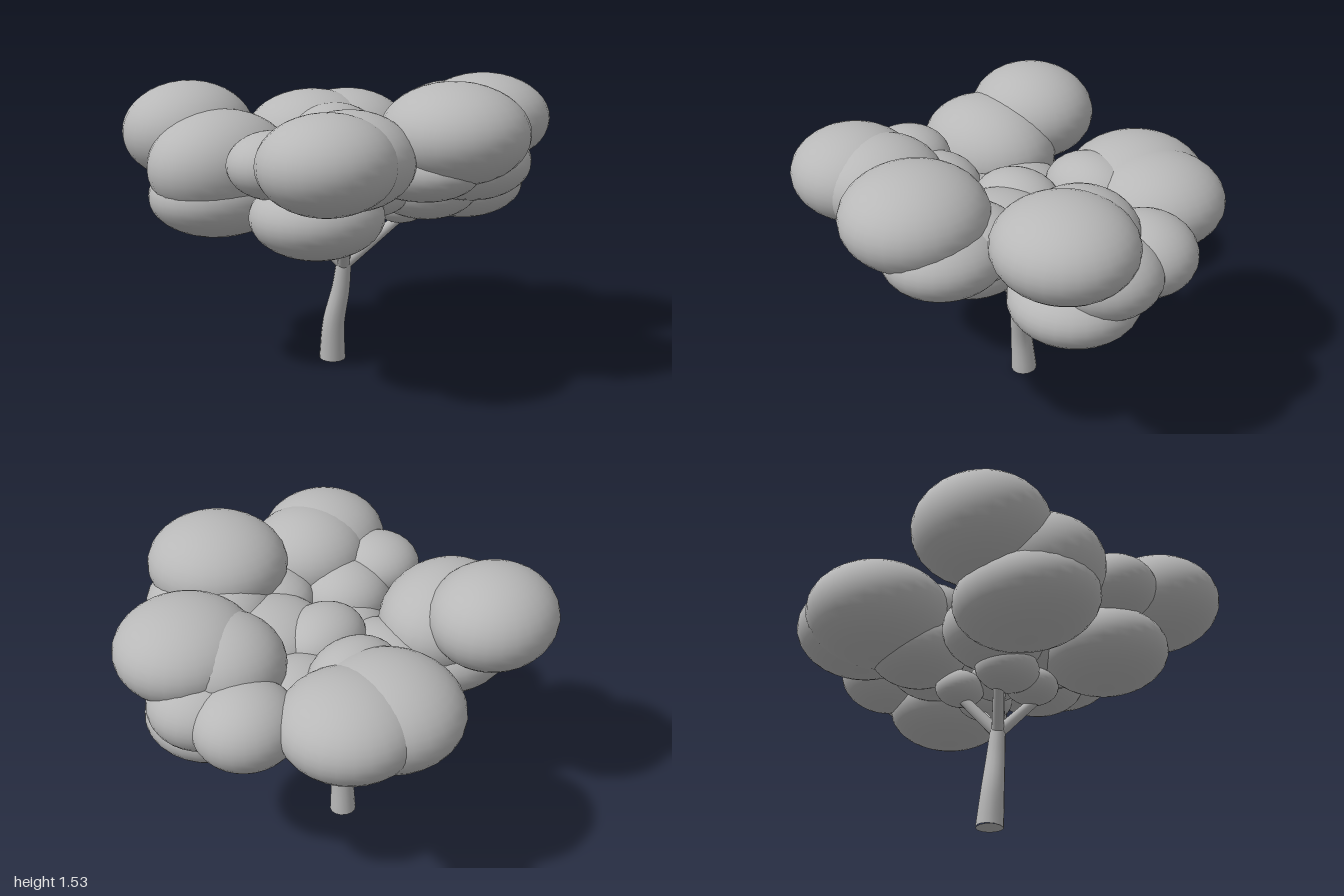
import * as THREE from 'three';

const grey = new THREE.MeshStandardMaterial({ color: 0xb8b8b8 });
grey.name = 'plain grey';

// A foliage cluster: each puff is [x, y, z, radiusX, radiusY, radiusZ]
function cluster(name, puffs) {
  const group = new THREE.Group();
  group.name = name;
  const ball = new THREE.SphereGeometry(1, 28, 20);
  puffs.forEach(([x, y, z, rx, ry, rz], i) => {
    const puff = new THREE.Mesh(ball, grey);
    puff.name = `${name}Puff${i + 1}`;
    puff.position.set(x, y, z);
    puff.scale.set(rx, ry, rz);
    group.add(puff);
  });
  return group;
}

// Tapered open limb through a list of points
function limb(name, points, r0, r1) {
  const curve = new THREE.CatmullRomCurve3(points.map(p => new THREE.Vector3(...p)));
  const rings = 10, sides = 14;
  const geo = new THREE.TubeGeometry(curve, rings, 1, sides, false);
  const pos = geo.attributes.position;
  const v = new THREE.Vector3();
  for (let i = 0; i <= rings; i++) {
    const c = curve.getPointAt(i / rings);
    const r = THREE.MathUtils.lerp(r0, r1, i / rings);
    for (let j = 0; j <= sides; j++) {
      const k = i * (sides + 1) + j;
      v.fromBufferAttribute(pos, k).sub(c).multiplyScalar(r).add(c);
      pos.setXYZ(k, v.x, Math.max(v.y, 0), v.z);
    }
  }
  const wood = new THREE.Mesh(geo, grey);
  wood.name = name;
  return wood;
}

export function createModel() {
  const tree = new THREE.Group();
  tree.name = 'tree';

  // Leaning trunk with a closed foot
  tree.add(limb('trunk', [
    [-0.132, 0.005, 0.047], [-0.117, 0.2, 0.052], [-0.08, 0.39, 0.036], [-0.062, 0.53, 0.032],
  ], 0.069, 0.039));
  const foot = new THREE.Mesh(new THREE.CircleGeometry(0.068, 14), grey);
  foot.name = 'trunkFoot';
  foot.position.set(-0.132, 0.006, 0.047);
  foot.rotation.x = Math.PI / 2;
  tree.add(foot);

  // Branches fanning out of the trunk top
  const fork = [-0.062, 0.52, 0.032];
  [
    [-0.23, 0.76, 0.2], [0.12, 0.77, 0.22], [0.12, 0.8, -0.28],
    [-0.2, 0.78, -0.16], [0.0, 0.92, 0.0],
  ].forEach((tip, i) => {
    const mid = fork.map((f, k) => (f + tip[k]) / 2);
    tree.add(limb(`branch${i + 1}`, [fork, mid, tip], 0.032, 0.024));
  });

  // Crown
  tree.add(cluster('frontRightFoliage', [
    [-0.68, 1.21, 0.52, 0.32, 0.25, 0.34],
    [-0.39, 1.08, 0.56, 0.32, 0.27, 0.385],
    [-0.41, 0.93, 0.55, 0.33, 0.21, 0.37],
  ]));
  tree.add(cluster('frontLeftFoliage', [
    [0.45, 1.21, 0.66, 0.32, 0.23, 0.33],
    [0.42, 1.2, 0.49, 0.31, 0.23, 0.31],
    [0.1, 1.16, 0.66, 0.22, 0.16, 0.22],
    [0.22, 0.91, 0.5, 0.32, 0.2, 0.32],
    [0.13, 1.08, 0.42, 0.23, 0.18, 0.24],
  ]));
  tree.add(cluster('leftFoliage', [
    [0.64, 1.29, 0.01, 0.36, 0.24, 0.35],
    [0.6, 1.14, -0.14, 0.31, 0.19, 0.29],
    [0.5, 1.13, 0.12, 0.34, 0.16, 0.25],
    [0.35, 1.0, -0.1, 0.3, 0.18, 0.25],
    [0.45, 1.15, -0.17, 0.24, 0.18, 0.26],
  ]));
  tree.add(cluster('backFoliage', [
    [0.31, 1.25, -0.62, 0.34, 0.23, 0.35],
    [0.14, 1.2, -0.55, 0.3, 0.23, 0.29],
    [0.13, 1.07, -0.71, 0.27, 0.2, 0.28],
    [-0.13, 1.07, -0.73, 0.25, 0.2, 0.26],
    [0.2, 0.91, -0.59, 0.32, 0.19, 0.32],
  ]));
  tree.add(cluster('backRightFoliage', [
    [-0.53, 1.1, -0.48, 0.34, 0.23, 0.34],
    [-0.6, 1.09, -0.28, 0.37, 0.25, 0.36],
    [-0.36, 1.12, -0.2, 0.21, 0.18, 0.26],
    [-0.38, 0.94, -0.22, 0.25, 0.17, 0.25],
  ]));
  tree.add(cluster('middleFoliage', [
    [-0.03, 1.1, 0.0, 0.2, 0.16, 0.24],
    [0.2, 1.08, -0.12, 0.28, 0.18, 0.3],
    [-0.25, 0.95, 0.2, 0.28, 0.19, 0.25],
    [0.0, 0.98, 0.26, 0.2, 0.16, 0.22],
    [-0.14, 1.0, -0.34, 0.24, 0.18, 0.26],
    [0.26, 1.0, 0.17, 0.2, 0.14, 0.2],
  ]));
  // Small puffs at the branch tips
  tree.add(cluster('lowerFoliage', [
    [0.03, 0.76, 0.18, 0.14, 0.09, 0.13],
    [-0.17, 0.78, 0.2, 0.17, 0.11, 0.15],
    [-0.02, 0.84, -0.02, 0.14, 0.1, 0.13],
    [-0.17, 0.78, -0.13, 0.13, 0.09, 0.12],
    [0.1, 0.83, -0.22, 0.15, 0.1, 0.14],
  ]));
  return tree;
}
